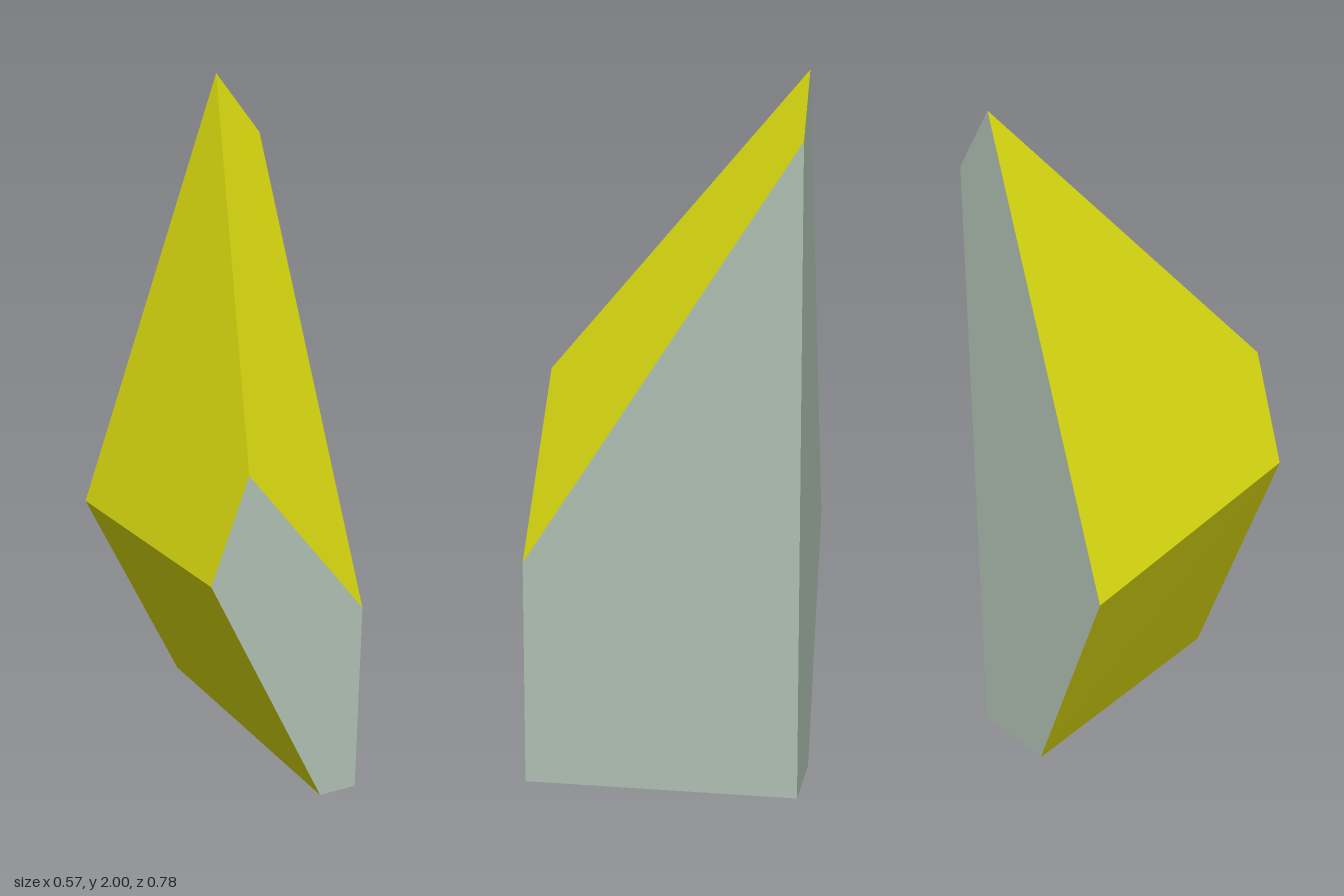
import * as THREE from 'three';

// Matching five-sided outlines, anticlockwise seen from the front
const FRONT = [[0.17, 0], [0.285, 0], [0.285, 0.64], [-0.07, 1.145], [-0.18, 0.82]]
  .map(([x, y]) => [x, y, 0.39]);
const BACK = [[0.01, 0], [0.285, 0], [0.285, 1.81], [0.15, 2], [-0.285, 0.7]]
  .map(([x, y]) => [x, y, -0.39]);

// Flat convex face as a triangle fan
function face(name, corners, material) {
  const points = [];
  for (let i = 1; i < corners.length - 1; i++) {
    points.push(...corners[0], ...corners[i], ...corners[i + 1]);
  }
  const geometry = new THREE.BufferGeometry();
  geometry.setAttribute('position', new THREE.Float32BufferAttribute(points, 3));
  geometry.computeVertexNormals();
  const mesh = new THREE.Mesh(geometry, material);
  mesh.name = name;
  return mesh;
}

export function createModel() {
  const grey = new THREE.MeshStandardMaterial({ color: 0xb0c0b3 });
  grey.name = 'grey green';
  const yellow = new THREE.MeshStandardMaterial({ color: 0xdada10 });
  yellow.name = 'yellow';

  const model = new THREE.Group();
  model.name = 'facetedWedge';

  // End faces
  model.add(face('frontFace', FRONT, grey));
  model.add(face('backFace', [...BACK].reverse(), grey));

  // Side faces joining the two outlines
  const sides = [
    ['bottomFace', grey],
    ['leftFace', grey],
    ['topSlope', yellow],
    ['upperRightSlope', yellow],
    ['lowerRightSlope', yellow],
  ];
  sides.forEach(([name, material], i) => {
    const j = (i + 1) % sides.length;
    model.add(face(name, [FRONT[i], BACK[i], BACK[j], FRONT[j]], material));
  });
  return model;
}
